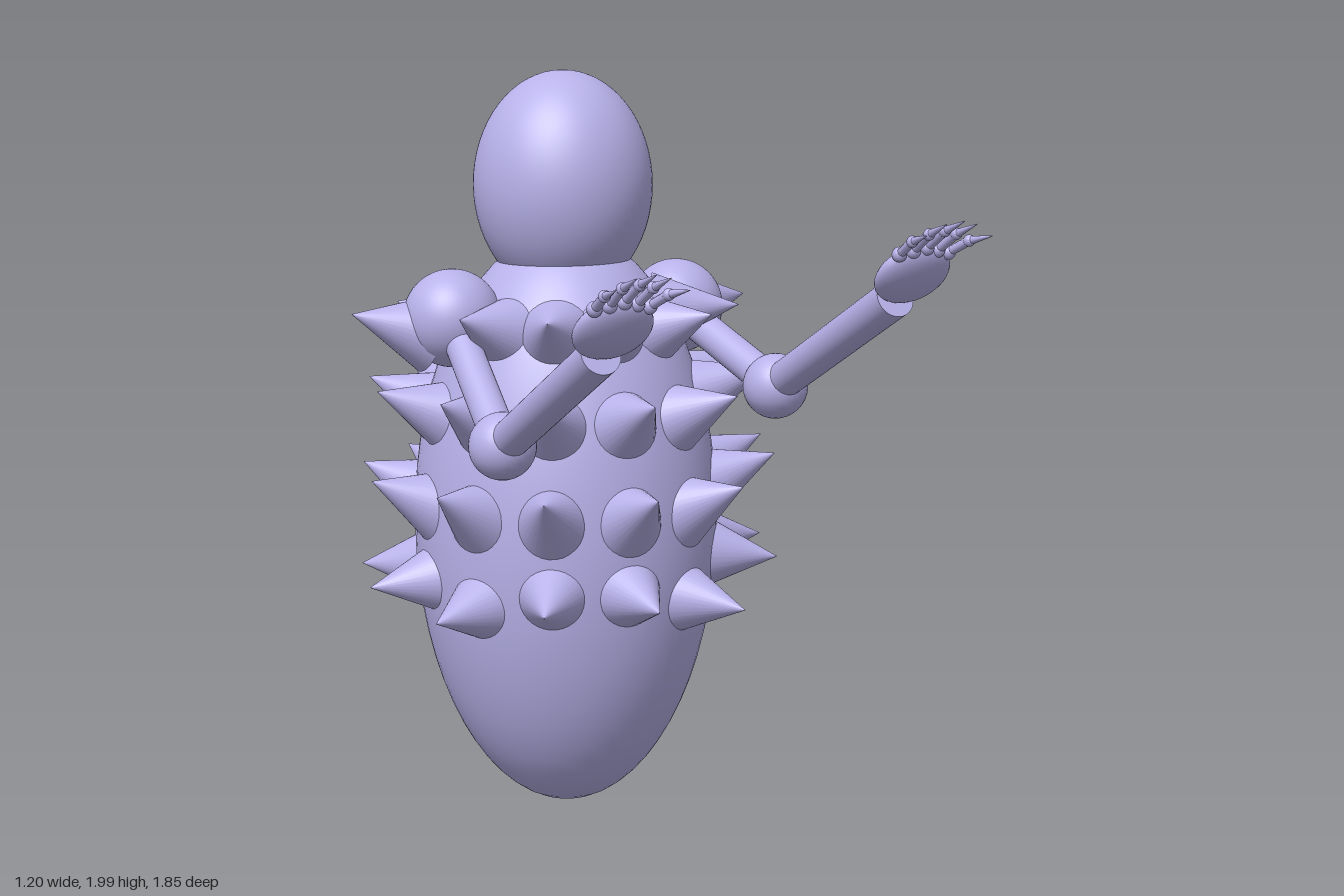
import * as THREE from 'three';

const mat = new THREE.MeshStandardMaterial({ color: 0xb8b2ea });
const V = (x, y, z) => new THREE.Vector3(x, y, z);
const UP = V(0, 1, 0);

function add(parent, name, geo) {
  const m = new THREE.Mesh(geo, mat);
  m.name = name;
  parent.add(m);
  return m;
}

function ellipsoid(parent, name, pos, rx, ry = rx, rz = rx, seg = 48) {
  const m = add(parent, name, new THREE.SphereGeometry(1, seg, seg / 2));
  m.scale.set(rx, ry, rz);
  m.position.copy(pos);
  return m;
}

// Cylinder or cone running from a to b
function rod(parent, name, a, b, ra, rb, seg = 32) {
  const d = b.clone().sub(a);
  const m = add(parent, name, new THREE.CylinderGeometry(rb, ra, d.length(), seg));
  m.position.copy(a).addScaledVector(d, 0.5);
  m.quaternion.setFromUnitVectors(UP, d.normalize());
  return m;
}

const CZ = -0.36; // body axis
const BODY = { y: 0.795, r: 0.41, h: 0.785 };

// Four rings of twelve spikes
function buildSpikes(parent) {
  const rows = [ // base height, tip height, tip radius
    { y: 0.67, tipY: 0.66, tipR: 0.57 },
    { y: 0.86, tipY: 0.945, tipR: 0.56 },
    { y: 1.10, tipY: 1.18, tipR: 0.54 },
    { y: 1.325, tipY: 1.385, tipR: 0.46 },
  ];
  rows.forEach((row, j) => {
    for (let i = 0; i < 12; i++) {
      const a = (i * Math.PI) / 6;
      let lift = i === 2 || i === 3 ? 0.04 : 0;
      if (j === 0 && (i === 1 || i === 10)) lift = -0.04;
      const y = row.y + lift;
      const surf = BODY.r * Math.sqrt(1 - ((y - BODY.y) / BODY.h) ** 2);
      let tipR = row.tipR;
      if (i === 3) tipR = j === 3 ? 0.535 : 0.595;
      if (i === 9 && j === 3) tipR = 0.605; // spike standing on the shoulder
      const baseR = j === 3 && i % 6 === 3 ? tipR - 0.21 : surf - 0.045;
      const at = (r, h) => V(Math.sin(a) * r, h, CZ + Math.cos(a) * r);
      rod(parent, 'spike', at(baseR, y), at(tipR, row.tipY + (j === 3 ? 0 : lift)), 0.103, 0);
    }
  });
}

// Palm with five jointed, pointed fingers
function buildHand() {
  const hand = new THREE.Group();
  hand.name = 'hand';
  const palm = ellipsoid(hand, 'palm', V(0, 0, 0), 0.095, 0.036, 0.09, 32);
  palm.rotation.x = -0.87;
  const tips = [ // x, y, z
    [-0.075, 0.105, 0.175], [-0.033, 0.13, 0.19], [0.008, 0.137, 0.2],
    [0.048, 0.128, 0.19], [0.102, 0.098, 0.172],
  ];
  tips.forEach(([x, y, z], i) => {
    const finger = new THREE.Group();
    finger.name = 'finger';
    const knuckle = V((i - 2) * 0.033, 0.066 - 0.007 * Math.abs(i - 2), 0.06 - 0.006 * Math.abs(i - 2));
    const tip = V(x, y, z);
    const joint = knuckle.clone().lerp(tip, 0.48).add(V(0, 0.009, 0));
    ellipsoid(finger, 'knuckle', knuckle, 0.018, 0.018, 0.018, 16);
    rod(finger, 'fingerBone', knuckle, joint, 0.011, 0.011, 12);
    ellipsoid(finger, 'fingerJoint', joint, 0.014, 0.014, 0.014, 16);
    rod(finger, 'claw', joint, tip, 0.011, 0.001, 12);
    hand.add(finger);
  });
  return hand;
}

function buildArm(name, shoulder, elbow, wrist, palm) {
  const arm = new THREE.Group();
  arm.name = name;
  ellipsoid(arm, 'shoulder', shoulder, 0.128);
  rod(arm, 'upperArm', shoulder, elbow, 0.046, 0.046);
  ellipsoid(arm, 'elbow', elbow, 0.085, 0.085, 0.085, 32);
  rod(arm, 'forearm', elbow, wrist, 0.048, 0.048);
  const hand = buildHand();
  hand.position.copy(palm);
  arm.add(hand);
  return arm;
}

export function createModel() {
  const g = new THREE.Group();
  g.name = 'spikyCreature';
  ellipsoid(g, 'body', V(-0.005, BODY.y, CZ), BODY.r, BODY.h, BODY.r, 64);
  ellipsoid(g, 'head', V(-0.01, 1.7, CZ), 0.238, 0.3, 0.238, 64);

  const spikes = new THREE.Group();
  spikes.name = 'spikes';
  buildSpikes(spikes);
  g.add(spikes);

  // Both arms reach forward, the left one slightly higher
  g.add(buildArm('leftArm', V(0.31, 1.365, -0.33), V(0.395, 1.195, 0.08),
    V(0.39, 1.485, 0.66), V(0.4, 1.545, 0.715)));
  g.add(buildArm('rightArm', V(-0.34, 1.365, -0.33), V(-0.37, 1.095, 0.08),
    V(-0.37, 1.395, 0.66), V(-0.367, 1.458, 0.715)));
  return g;
}
